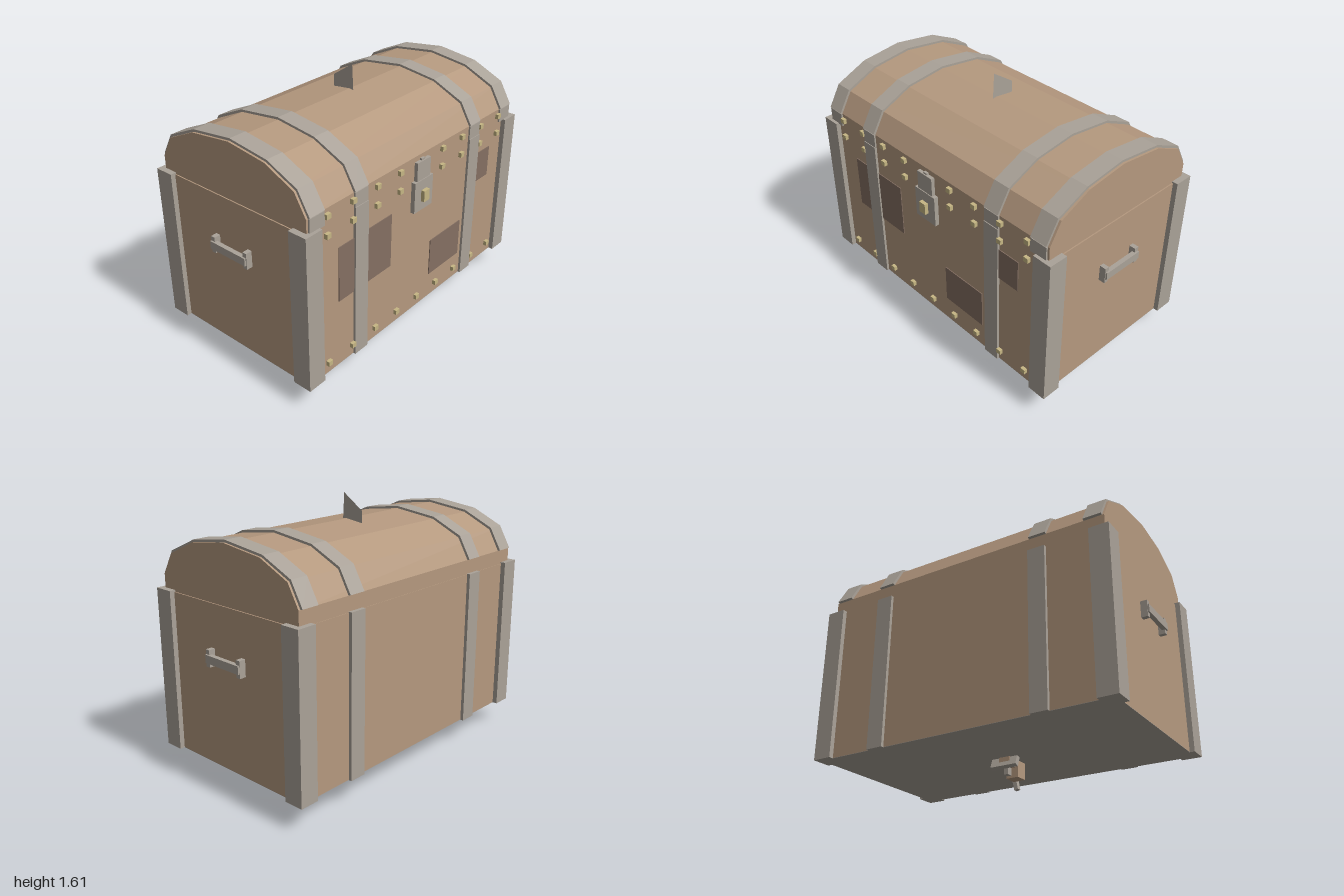
import * as THREE from 'three';

const mat = (name, color) => {
  const m = new THREE.MeshStandardMaterial({ color });
  m.name = name;
  return m;
};

export function createModel() {
  const root = new THREE.Group();
  root.name = 'chest';
  const wood = mat('wood', 0xb5997f);
  const darkWood = mat('dark wood', 0x846f62);
  const metal = mat('metal', 0xaaa298);
  const brass = mat('brass', 0xc6b684);
  const sheet = mat('sheet metal', 0xaaa298);
  sheet.side = THREE.DoubleSide;

  const add = (name, geometry, material) => {
    const mesh = new THREE.Mesh(geometry, material);
    mesh.name = name;
    root.add(mesh);
    return mesh;
  };
  // Box given by its lower and upper limits on each axis
  const box = (name, material, x0, x1, y0, y1, z0, z1) => {
    const mesh = add(name, new THREE.BoxGeometry(x1 - x0, y1 - y0, z1 - z0), material);
    mesh.position.set((x0 + x1) / 2, (y0 + y1) / 2, (z0 + z1) / 2);
    return mesh;
  };
  // Outline of [z, y] points, swept along x
  const sweep = (name, material, points, x0, x1) => {
    const shape = new THREE.Shape(points.map(([z, y]) => new THREE.Vector2(-z, y)));
    const geometry = new THREE.ExtrudeGeometry(shape, { depth: x1 - x0, bevelEnabled: false });
    geometry.rotateY(Math.PI / 2).translate(x0, 0, 0);
    return add(name, geometry, material);
  };

  // Body and its underside
  box('body', wood, -0.95, 0.95, 0.152, 1.11, -0.55, 0.53);
  box('base', metal, -0.95, 0.95, 0.15, 0.152, -0.55, 0.53);

  // Faceted barrel lid
  const arch = [[0.53, 1.2], [0.455, 1.328], [0.258, 1.418], [0, 1.452],
    [-0.28, 1.418], [-0.475, 1.328], [-0.547, 1.2]];
  const archOuter = [[0.543, 1.207], [0.465, 1.34], [0.262, 1.431], [0, 1.466],
    [-0.285, 1.431], [-0.485, 1.34], [-0.562, 1.205]];
  sweep('lid', wood, [[0.53, 1.11], ...arch, [-0.547, 1.11]], -0.943, 0.943);

  // Bands over the lid, and their short straps on the lid front
  const strap = [...archOuter, ...arch.slice().reverse()];
  for (const [x0, x1] of [[-0.93, -0.82], [-0.587, -0.48], [0.48, 0.587], [0.82, 0.93]]) {
    sweep('lidBand', metal, strap, x0, x1);
    box('lidStrap', metal, x0, x1, 1.115, 1.2, 0.525, 0.54);
  }

  for (const s of [-1, 1]) {
    // Corner posts
    const px = [s * 0.86, s * 0.98].sort((a, b) => a - b);
    box('frontPost', metal, ...px, 0.15, 1.12, 0.44, 0.56);
    box('backPost', metal, ...px, 0.15, 1.12, -0.58, -0.46);

    // Body bands
    const bx = [s * 0.48, s * 0.587].sort((a, b) => a - b);
    box('frontBand', metal, ...bx, 0.15, 1.115, 0.525, 0.545);
    box('backBand', metal, ...bx, 0.15, 1.115, -0.57, -0.545);

    // Side handles with two brackets
    const hx = [s * 0.972, s * 1.0].sort((a, b) => a - b);
    const kx = [s * 0.945, s * 0.99].sort((a, b) => a - b);
    box('handleBar', metal, ...hx, 0.78, 0.828, -0.145, 0.125);
    box('handleBracket', metal, ...kx, 0.755, 0.855, 0.102, 0.13);
    box('handleBracket', metal, ...kx, 0.755, 0.855, -0.147, -0.118);
  }

  // Brass studs in three rows
  for (const y of [0.225, 1.047, 1.162]) {
    for (let i = -4; i <= 4; i++) {
      if (i === 0 && y > 1) continue;
      const x = i * 0.2;
      box('stud', brass, x - 0.016, x + 0.016, y - 0.015, y + 0.015, 0.525, 0.551);
    }
  }

  // Dark patches on the front
  for (const [x0, x1, y0, y1] of [[-0.71, -0.265, 0.585, 0.927],
    [0.13, 0.447, 0.317, 0.563], [0.5, 0.732, 0.778, 0.977]]) {
    box('patch', darkWood, x0, x1, y0, y1, 0.529, 0.535);
  }

  // Lock plate, hasp and keyhole
  box('lockPlate', metal, -0.085, 0.085, 0.855, 1.05, 0.525, 0.557);
  box('hasp', metal, -0.062, 0.062, 1.05, 1.167, 0.525, 0.552);
  box('haspTip', metal, -0.015, 0.015, 1.165, 1.178, 0.525, 0.545);
  box('keyhole', brass, -0.025, 0.025, 0.915, 0.985, 0.55, 0.58);

  // Thin blade standing on the lid ridge
  const blade = new THREE.Shape([[-0.02, 1.605], [-0.03, 1.43], [0.12, 1.43], [0.12, 1.51]]
    .map(([x, y]) => new THREE.Vector2(x, y)));
  add('blade', new THREE.ShapeGeometry(blade).rotateY(Math.PI / 2), sheet);

  // Small parts hanging under the base
  box('hangingBlock', wood, -0.04, 0.04, 0.05, 0.16, 0.05, 0.13);
  box('hangingBlock', wood, -0.04, 0.03, 0.1, 0.16, -0.045, 0.02);
  const slat = new THREE.Shape([[0.01, 0.005], [0.035, 0], [0.068, 0.15], [0.04, 0.15]]
    .map(([x, y]) => new THREE.Vector2(x, y)));
  add('hangingSlat', new THREE.ExtrudeGeometry(slat, { depth: 0.03, bevelEnabled: false }), metal)
    .position.z = 0.13;
  box('hangingPin', metal, -0.01, 0.015, 0.055, 0.16, -0.015, 0.025);
  const bar = box('hangingBar', metal, -0.085, 0.085, 0.09, 0.15, -0.045, -0.015);
  bar.rotation.x = 0.35;

  return root;
}
